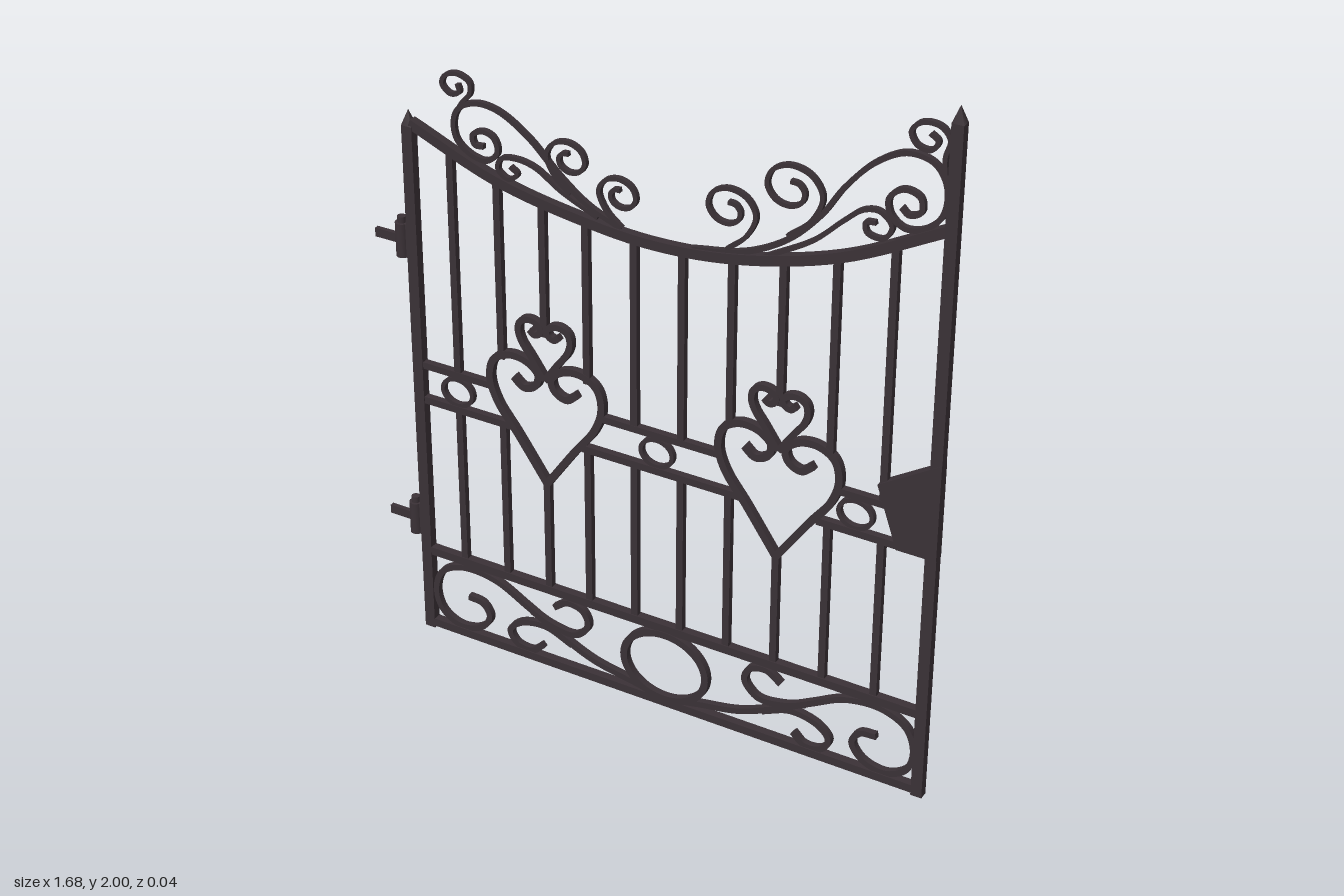
import * as THREE from 'three';

const iron = new THREE.MeshStandardMaterial({ color: 0x3a3136 });
iron.name = 'dark iron';

const toCurve = (pts) => new THREE.CatmullRomCurve3(pts.map(([x, y]) => new THREE.Vector3(x, y, 0)), false, 'centripetal');

// Flat bar of rectangular section swept along a curve in the xy plane
function barGeometry(pts, width, depth, steps = pts.length * 7) {
  const curve = toCurve(pts);
  const pos = [], index = [];
  for (let i = 0; i <= steps; i++) {
    const p = curve.getPoint(i / steps), t = curve.getTangent(i / steps);
    const nx = -t.y * width / 2, ny = t.x * width / 2, d = depth / 2;
    pos.push(p.x + nx, p.y + ny, d, p.x - nx, p.y - ny, d, p.x - nx, p.y - ny, -d, p.x + nx, p.y + ny, -d);
    if (i === steps) continue;
    for (let k = 0; k < 4; k++) {
      const a = i * 4 + k, b = i * 4 + (k + 1) % 4;
      index.push(a, b, a + 4, b, b + 4, a + 4);
    }
  }
  const e = steps * 4;
  index.push(0, 2, 1, 0, 3, 2, e, e + 1, e + 2, e, e + 2, e + 3);
  const g = new THREE.BufferGeometry();
  g.setAttribute('position', new THREE.Float32BufferAttribute(pos, 3));
  g.setIndex(index);
  const flat = g.toNonIndexed();
  flat.computeVertexNormals();
  return flat;
}

// Oval ring cut from a flat plate
function ringGeometry(rx, ry, width, depth) {
  const shape = new THREE.Shape().absellipse(0, 0, rx, ry, 0, Math.PI * 2);
  shape.holes.push(new THREE.Path().absellipse(0, 0, rx - width, ry - width, 0, Math.PI * 2, true));
  return new THREE.ExtrudeGeometry(shape, { depth, bevelEnabled: false, curveSegments: 32 }).translate(0, 0, -depth / 2);
}

// Branch scroll: tail rising on the outer side (side = -1 or 1), then spiralling inwards
function curlPoints(cx, cy, r, side) {
  const pts = [[cx - side * 0.05 * r, cy - 1.5 * r], [cx + side * 0.68 * r, cy - 0.85 * r]];
  for (let i = 0; i <= 10; i++) {
    const a = i * Math.PI / 4, k = r * (1 - 0.07 * i);
    pts.push([cx + side * Math.cos(a) * k * 1.04, cy + Math.sin(a) * k * 0.9]);
  }
  return pts;
}

export function createModel() {
  const model = new THREE.Group();
  const centring = 0.004;
  const add = (name, geometry, x = 0, y = 0, z = 0) => {
    const mesh = new THREE.Mesh(geometry, iron);
    mesh.name = name;
    mesh.position.set(x + centring, y, z);
    model.add(mesh);
  };
  const box = (name, x0, x1, y0, y1, depth) =>
    add(name, new THREE.BoxGeometry(x1 - x0, y1 - y0, depth), (x0 + x1) / 2, (y0 + y1) / 2);
  const bar = (name, pts, width = 0.014, depth = 0.014) => add(name, barGeometry(pts, width, depth));

  // Posts with pyramid points
  for (const [name, x, top] of [['hingePost', -0.722, 1.585], ['latchPost', 0.819, 1.955]]) {
    box(name, x - 0.016, x + 0.016, 0, top, 0.026);
    const tip = new THREE.ConeGeometry(0.0226, 0.045, 4).rotateY(Math.PI / 4).scale(1, 1, 0.81);
    add(name + 'Point', tip, x, top + 0.0225);
  }

  // Horizontal rails, the middle pair broken by the hearts
  box('bottomRail', -0.71, 0.81, 0.006, 0.031, 0.024);
  box('lowerRail', -0.71, 0.81, 0.253, 0.278, 0.024);
  for (const [a, b] of [[-0.71, -0.485], [-0.145, 0.215], [0.555, 0.81]]) box('upperMiddleRail', a, b, 0.862, 0.882, 0.02);
  for (const [a, b] of [[-0.71, -0.425], [-0.205, 0.275], [0.495, 0.81]]) box('lowerMiddleRail', a, b, 0.752, 0.773, 0.02);

  // Curved top rail
  const topPts = [[-0.715, 1.594], [-0.453, 1.494], [-0.2, 1.447], [0.008, 1.431], [0.24, 1.452], [0.528, 1.532], [0.818, 1.68]];
  bar('topRail', topPts, 0.028, 0.024);
  const samples = toCurve(topPts).getPoints(300);
  const topAt = (x) => samples.find((p) => p.x >= x).y;

  // Pickets: [x, bottom of upper half, top of lower half]
  const pickets = [
    [-0.595, 0.87, 0.765], [-0.453, 0.965, 0.765], [-0.317, 1.07, 0.62], [-0.187, 0.965, 0.765], [-0.044, 0.87, 0.765],
    [0.096, 0.87, 0.765], [0.238, 0.965, 0.765], [0.381, 1.07, 0.62], [0.526, 0.965, 0.765], [0.678, 0.87, 0.765],
  ];
  for (const [x, low, high] of pickets) {
    box('upperPicket', x - 0.01, x + 0.01, low, topAt(x), 0.018);
    box('lowerPicket', x - 0.01, x + 0.01, 0.265, high, 0.018);
  }

  // Hearts with curled lobes, a small one on each large one
  const heart = [[0, 0], [0.09, 0.13], [0.153, 0.217], [0.174, 0.286], [0.16, 0.344], [0.114, 0.372],
    [0.058, 0.367], [0.021, 0.335], [0.03, 0.3], [0.066, 0.284], [0.099, 0.308]];
  for (const cx of [-0.317, 0.381]) {
    for (const [name, y, s, w] of [['largeHeart', 0.613, 1, 0.021], ['smallHeart', 0.938, 0.46, 0.018]]) {
      for (const side of [-1, 1]) bar(name, heart.map(([x, h]) => [cx + side * x * s, y + h * s]), w, 0.02);
    }
  }

  // Small rings between the middle rails
  for (const x of [-0.599, 0.023, 0.603]) add('smallRing', ringGeometry(0.053, 0.046, 0.012, 0.016), x, 0.816);

  // Bottom panel: central ring and mirrored scrolls
  const cx = 0.052;
  add('panelRing', ringGeometry(0.138, 0.117, 0.021, 0.02), cx, 0.139, 0.004);
  const panelScrolls = [
    [[-0.06, 0.04], [-0.11, 0.05], [-0.23, 0.074], [-0.338, 0.122], [-0.444, 0.18], [-0.55, 0.233], [-0.656, 0.24],
      [-0.727, 0.203], [-0.75, 0.133], [-0.73, 0.069], [-0.672, 0.037], [-0.603, 0.053], [-0.571, 0.1], [-0.593, 0.138], [-0.64, 0.145]],
    [[-0.3, 0.1], [-0.386, 0.133], [-0.468, 0.117], [-0.502, 0.08], [-0.482, 0.043], [-0.43, 0.036], [-0.395, 0.065]],
    [[-0.43, 0.17], [-0.365, 0.145], [-0.286, 0.14], [-0.246, 0.185], [-0.262, 0.227], [-0.31, 0.239], [-0.355, 0.21]],
  ];
  for (const side of [-1, 1]) {
    for (const pts of panelScrolls) bar('panelScroll', pts.map(([x, y]) => [cx - side * x, y]), 0.018, 0.018);
  }

  // Crest scrolls on the lower, hinge side
  bar('crestSweep', [[-0.087, 1.452], [-0.177, 1.489], [-0.257, 1.547], [-0.352, 1.637], [-0.442, 1.69], [-0.51, 1.696],
    [-0.563, 1.669], [-0.579, 1.627], [-0.569, 1.579], [-0.526, 1.547], [-0.479, 1.542], [-0.447, 1.574], [-0.458, 1.611],
    [-0.489, 1.622], [-0.521, 1.606], [-0.516, 1.579], [-0.489, 1.579]]);
  bar('crestTipCurl', [[-0.579, 1.64], [-0.55, 1.69], [-0.526, 1.72], [-0.527, 1.75], [-0.563, 1.766], [-0.6, 1.754],
    [-0.61, 1.728], [-0.585, 1.706], [-0.558, 1.717], [-0.563, 1.738]], 0.012);
  bar('crestInnerCurl', [[-0.15, 1.463], [-0.257, 1.51], [-0.336, 1.558], [-0.394, 1.568], [-0.437, 1.558],
    [-0.447, 1.526], [-0.415, 1.505], [-0.389, 1.526], [-0.41, 1.542]], 0.012);

  // Crest scrolls on the taller, latch side
  bar('crestSweep', [[0.124, 1.447], [0.272, 1.478], [0.389, 1.542], [0.474, 1.627], [0.537, 1.722], [0.616, 1.807],
    [0.696, 1.85], [0.765, 1.839], [0.799, 1.786], [0.793, 1.712], [0.749, 1.664], [0.696, 1.653], [0.659, 1.68],
    [0.653, 1.722], [0.69, 1.754], [0.733, 1.743], [0.738, 1.706], [0.706, 1.69], [0.685, 1.706]]);
  bar('crestTipCurl', [[0.797, 1.79], [0.79, 1.86], [0.8, 1.907], [0.775, 1.936], [0.727, 1.936], [0.701, 1.907],
    [0.717, 1.876], [0.754, 1.871], [0.77, 1.897], [0.749, 1.913]], 0.012);
  bar('crestInnerCurl', [[0.325, 1.478], [0.458, 1.558], [0.537, 1.632], [0.59, 1.675], [0.632, 1.68], [0.664, 1.648],
    [0.643, 1.611], [0.6, 1.616], [0.595, 1.643], [0.622, 1.648]], 0.012);

  // Branch curls along both sweeps
  for (const [x, y, r, side] of [[-0.234, 1.603, 0.063, -1], [-0.084, 1.54, 0.06, -1], [0.223, 1.582, 0.074, 1], [0.392, 1.678, 0.084, 1]]) {
    bar('branchCurl', curlPoints(x, y, r, side), 0.012);
  }

  // Lock plate
  const plate = new THREE.Shape([[0.835, 1.038], [0.664, 0.93], [0.724, 0.754], [0.835, 0.754]].map(([x, y]) => new THREE.Vector2(x, y)));
  add('lockPlate', new THREE.ExtrudeGeometry(plate, { depth: 0.03, bevelEnabled: false }), 0, 0, -0.015);

  // Hinges: barrel, cap, strap to the post and wall pin
  for (const y of [1.243, 0.36]) {
    add('hingeBarrel', new THREE.CylinderGeometry(0.019, 0.019, 0.1, 16), -0.76, y);
    add('hingeCap', new THREE.CylinderGeometry(0.012, 0.012, 0.02, 16), -0.76, y + 0.058);
    box('hingeStrap', -0.757, -0.73, y - 0.05, y + 0.05, 0.018);
    box('hingePin', -0.844, -0.765, y - 0.013, y + 0.013, 0.013);
  }

  return model;
}
